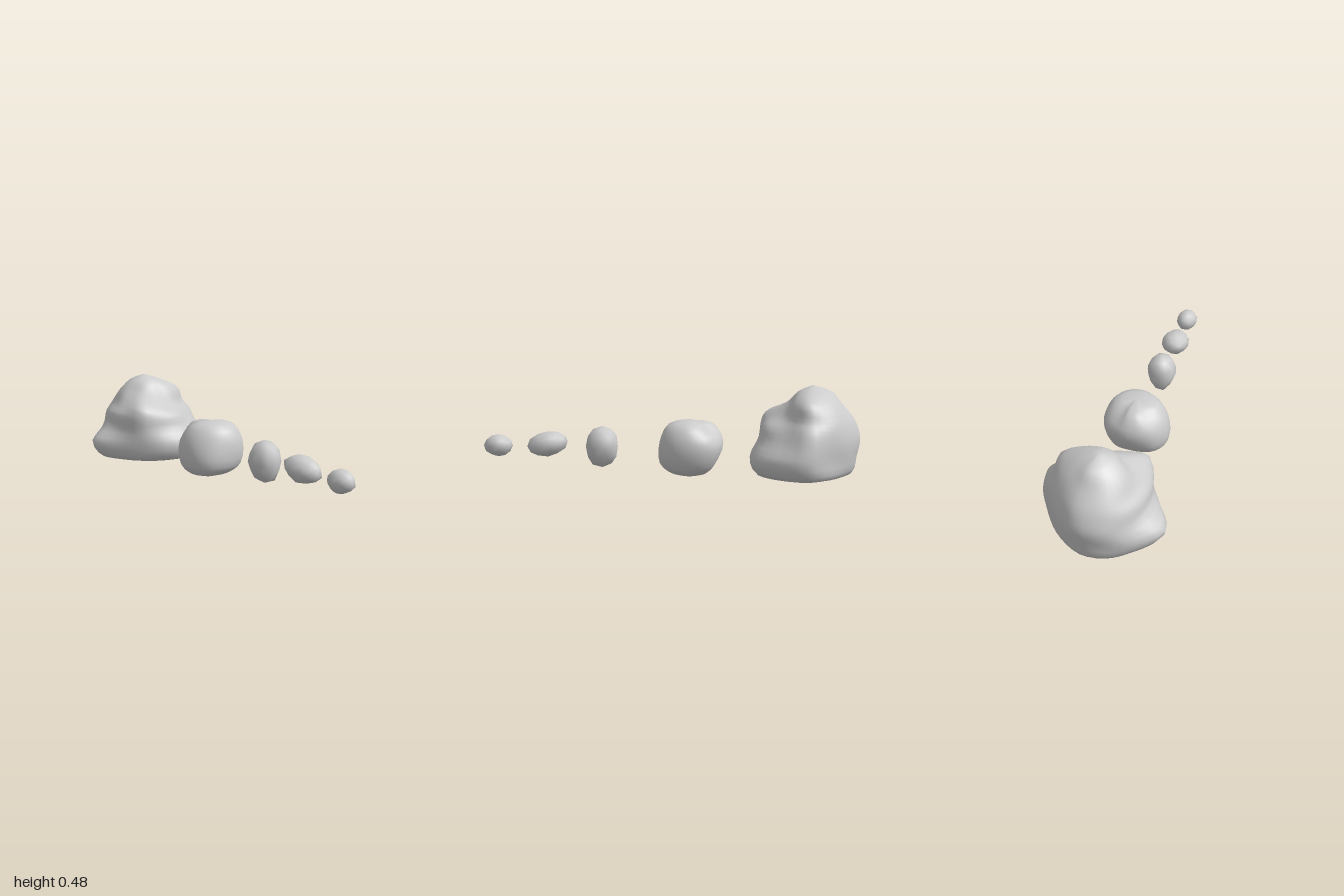
import * as THREE from 'three';
import { mergeVertices } from 'three/addons/utils/BufferGeometryUtils.js';

const material = new THREE.MeshStandardMaterial({ color: 0xcccccc });

// Boulder from horizontal sections: each has a height and 12 radii, counted
// from 20 degrees off the front (+z) towards +x; smoothed in both directions
function boulder({ centre: [cx, cz], base, tip, sections }) {
  const around = 36, perSection = 3;
  const columns = [];
  for (let k = 0; k < 12; k++) {
    const a = THREE.MathUtils.degToRad(20 + 30 * k);
    const pts = sections.map(({ y, r }) =>
      new THREE.Vector3(cx + r[k] * Math.sin(a), y, cz + r[k] * Math.cos(a)));
    const curve = new THREE.CatmullRomCurve3(
      [new THREE.Vector3(cx, base, cz), ...pts, new THREE.Vector3(...tip)]);
    columns.push(curve.getPoints((sections.length + 1) * perSection));
  }
  const rows = columns[0].length;
  const pos = [], index = [];
  for (let i = 0; i < rows; i++) {
    const pole = i === 0 || i === rows - 1;
    const ring = new THREE.CatmullRomCurve3(columns.map((c) => c[i]), true);
    for (let j = 0; j < around; j++) {
      const p = pole ? columns[0][i] : ring.getPoint(j / around);
      pos.push(p.x, Math.max(p.y, 0), p.z);
    }
  }
  // the first band closes on the base point, the last one on the tip
  for (let i = 0; i < rows - 1; i++) {
    for (let j = 0; j < around; j++) {
      const a = i * around + j, b = i * around + ((j + 1) % around);
      if (i > 0) index.push(a, b, a + around);
      if (i < rows - 2) index.push(b, b + around, a + around);
    }
  }
  let geo = new THREE.BufferGeometry();
  geo.setAttribute('position', new THREE.Float32BufferAttribute(pos, 3));
  geo.setIndex(index);
  geo = mergeVertices(geo, 1e-6);
  geo.computeVertexNormals();
  return geo;
}

// Pebble: coarse smooth ball with small seeded lumps, reshaped by a rule
// and sized to the box min..max
function pebble({ seed, shape, min, max }) {
  let geo = new THREE.IcosahedronGeometry(1, 1);
  geo.deleteAttribute('normal');
  geo.deleteAttribute('uv');
  geo = mergeVertices(geo, 1e-4);
  let s = seed;
  const random = () => (s = (s * 16807) % 2147483647) / 2147483647;
  const p = geo.attributes.position;
  const v = new THREE.Vector3();
  for (let i = 0; i < p.count; i++) {
    v.fromBufferAttribute(p, i).multiplyScalar(0.95 + 0.1 * random());
    shape(v);
    p.setXYZ(i, v.x, v.y, v.z);
  }
  geo.computeBoundingBox();
  const b = geo.boundingBox;
  const size = ['x', 'y', 'z'].map((a, i) => (max[i] - min[i]) / (b.max[a] - b.min[a]));
  geo.translate(-b.min.x, -b.min.y, -b.min.z).scale(...size).translate(...min);
  geo.computeVertexNormals();
  return geo;
}

// Wide lobed foot, a shoulder at the front and a peak set back from the middle
const largeBoulder = {
  centre: [0, -0.72], base: 0.004, tip: [0, 0.484, -0.74],
  sections: [
    { y: 0.02, r: [0.29, 0.29, 0.285, 0.24, 0.22, 0.235, 0.24, 0.245, 0.27, 0.245, 0.24, 0.26] },
    { y: 0.11, r: [0.33, 0.335, 0.325, 0.25, 0.245, 0.26, 0.26, 0.285, 0.335, 0.28, 0.27, 0.295] },
    { y: 0.20, r: [0.27, 0.27, 0.31, 0.255, 0.25, 0.275, 0.27, 0.25, 0.24, 0.245, 0.275, 0.26] },
    { y: 0.27, r: [0.24, 0.22, 0.28, 0.245, 0.235, 0.26, 0.25, 0.235, 0.225, 0.24, 0.28, 0.245] },
    { y: 0.32, r: [0.17, 0.18, 0.235, 0.225, 0.215, 0.235, 0.225, 0.2, 0.18, 0.195, 0.265, 0.2] },
    { y: 0.39, r: [0.11, 0.15, 0.21, 0.18, 0.17, 0.175, 0.17, 0.155, 0.14, 0.115, 0.12, 0.11] },
    { y: 0.45, r: [0.06, 0.075, 0.1, 0.1, 0.1, 0.125, 0.11, 0.09, 0.08, 0.065, 0.055, 0.055] },
  ],
};

// Rounded block, undercut at the back and dented at the top
const middleBoulder = {
  centre: [0.01, -0.1], base: 0.003, tip: [0.01, 0.303, -0.08],
  sections: [
    { y: 0.02, r: [0.105, 0.1, 0.095, 0.085, 0.085, 0.07, 0.075, 0.095, 0.12, 0.13, 0.13, 0.11] },
    { y: 0.07, r: [0.165, 0.165, 0.15, 0.145, 0.14, 0.125, 0.13, 0.155, 0.17, 0.175, 0.18, 0.17] },
    { y: 0.19, r: [0.175, 0.175, 0.17, 0.17, 0.17, 0.17, 0.165, 0.165, 0.17, 0.17, 0.165, 0.165] },
    { y: 0.28, r: [0.125, 0.125, 0.12, 0.1, 0.07, 0.11, 0.12, 0.09, 0.11, 0.115, 0.115, 0.12] },
  ],
};

const pebbles = {
  // upright and blunt, narrower at the foot
  tallPebble: {
    seed: 11,
    shape: (v) => {
      v.x *= 1 + 0.1 * v.y;
      v.z = Math.sign(v.z) * Math.abs(v.z) ** 0.8;
    },
    min: [-0.085, 0.048, 0.29], max: [0.08, 0.27, 0.46],
  },
  // lying along z, its back end a little higher
  longPebble: {
    seed: 27, shape: (v) => { v.y -= 0.2 * v.z; },
    min: [-0.088, 0.105, 0.555], max: [0.07, 0.24, 0.77],
  },
  // nearly round
  smallPebble: {
    seed: 42, shape: (v) => { v.x -= 0.05 * v.z; },
    min: [-0.075, 0.107, 0.845], max: [0.045, 0.228, 1],
  },
};

export function createModel() {
  const group = new THREE.Group();
  group.name = 'rowOfRocks';
  const add = (name, geo) => {
    const mesh = new THREE.Mesh(geo, material);
    mesh.name = name;
    group.add(mesh);
  };
  add('largeBoulder', boulder(largeBoulder));
  add('middleBoulder', boulder(middleBoulder));
  for (const [name, spec] of Object.entries(pebbles)) add(name, pebble(spec));
  return group;
}
